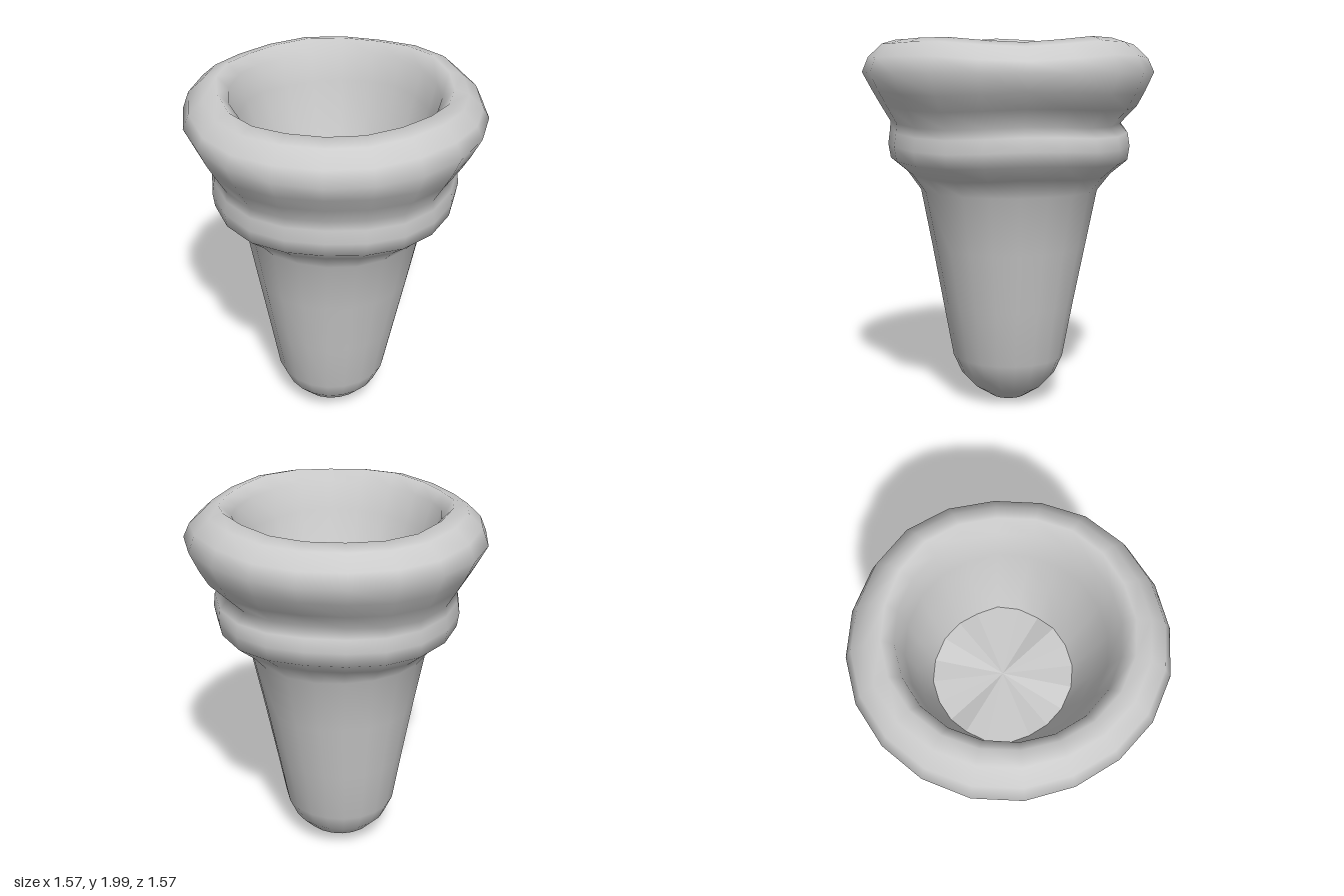
import * as THREE from 'three';
import { mergeVertices } from 'three/addons/utils/BufferGeometryUtils.js';

const SEGMENTS = 20;
const { clamp } = THREE.MathUtils;

// Hand-shaped irregularity of the outside: uneven rim, off-centre stem, undercut behind the collar
function deformOutside(x, y, z) {
  const a = Math.atan2(x, z);
  const stem = clamp((1.5 - y) / 1.2, 0, 1);
  let scale = 1 + 0.005 * Math.sin(3 * a + 4 * y) + 0.004 * Math.cos(5 * a - 3 * y);
  if (y > 1.51 && y < 1.56) scale -= 0.06 * Math.max(0, -Math.cos(a + 0.35));
  let dy = 0;
  if (y > 1.85) dy = 0.01 * Math.sin(3 * a - 0.6) + 0.008 * Math.cos(5 * a) - 0.005;
  if (y > 1.2 && y < 1.75) dy = 0.01 * Math.sin(4 * a);
  return [x * scale - 0.018 * stem, y + dy, z * scale + 0.005 * stem];
}

// The hollow narrows slightly in z and drifts backwards towards an uneven floor edge
function deformInside(x, y, z) {
  const a = Math.atan2(x, z);
  const depth = clamp((1.93 - y) / 0.53, 0, 1);
  const scale = 1 + depth * 0.02 * Math.sin(4 * a + 1);
  const uneven = Math.hypot(x, z) > 0.01 ? 0.02 * Math.sin(3 * a) + 0.012 * Math.cos(7 * a) : 0;
  return [
    x * scale,
    y + depth * uneven + (1 - depth) * (0.01 * Math.sin(3 * a - 0.6) - 0.01),
    z * scale * (1 - 0.06 * depth) - 0.03 * depth,
  ];
}

// Revolved profile, deformed and welded for smooth normals; points from innerFrom on are the hollow
function revolve(name, profile, innerFrom, flat) {
  let geo = new THREE.LatheGeometry(profile.map(([r, y]) => new THREE.Vector2(r, y)), SEGMENTS);
  const pos = geo.attributes.position;
  for (let i = 0; i < pos.count; i++) {
    const deform = i % profile.length < innerFrom ? deformOutside : deformInside;
    pos.setXYZ(i, ...deform(pos.getX(i), pos.getY(i), pos.getZ(i)));
  }
  geo.deleteAttribute('uv');
  geo.deleteAttribute('normal');
  geo = mergeVertices(geo, 1e-4);
  geo.computeVertexNormals();
  const mesh = new THREE.Mesh(geo, new THREE.MeshStandardMaterial({
    color: 0xcccccc, flatShading: flat, side: THREE.DoubleSide,
  }));
  mesh.name = name;
  return mesh;
}

export function createModel() {
  const group = new THREE.Group();
  group.name = 'flaredCup';

  // Rounded tip, tapering stem, collar and flared rim
  const outside = [
    [0, 0.002], [0.09, 0.012], [0.19, 0.075], [0.26, 0.15], [0.305, 0.25],
    [0.36, 0.55], [0.42, 0.87], [0.48, 1.18],
    [0.55, 1.27], [0.64, 1.345], [0.652, 1.42], [0.642, 1.49], [0.637, 1.54],
    [0.69, 1.63], [0.735, 1.71], [0.783, 1.81], [0.75, 1.89], [0.675, 1.96],
    [0.6, 1.982],
  ];
  // Wall of the hollow, from the rim down to the floor
  const inside = [[0.54, 1.93], [0.5, 1.78], [0.45, 1.6], [0.375, 1.4]];
  group.add(revolve('cupBody', [...outside, ...inside], outside.length, false));

  // Faceted floor closing the hollow
  group.add(revolve('cupFloor', [[0.375, 1.4], [0, 1.4]], 0, true));

  return group;
}
